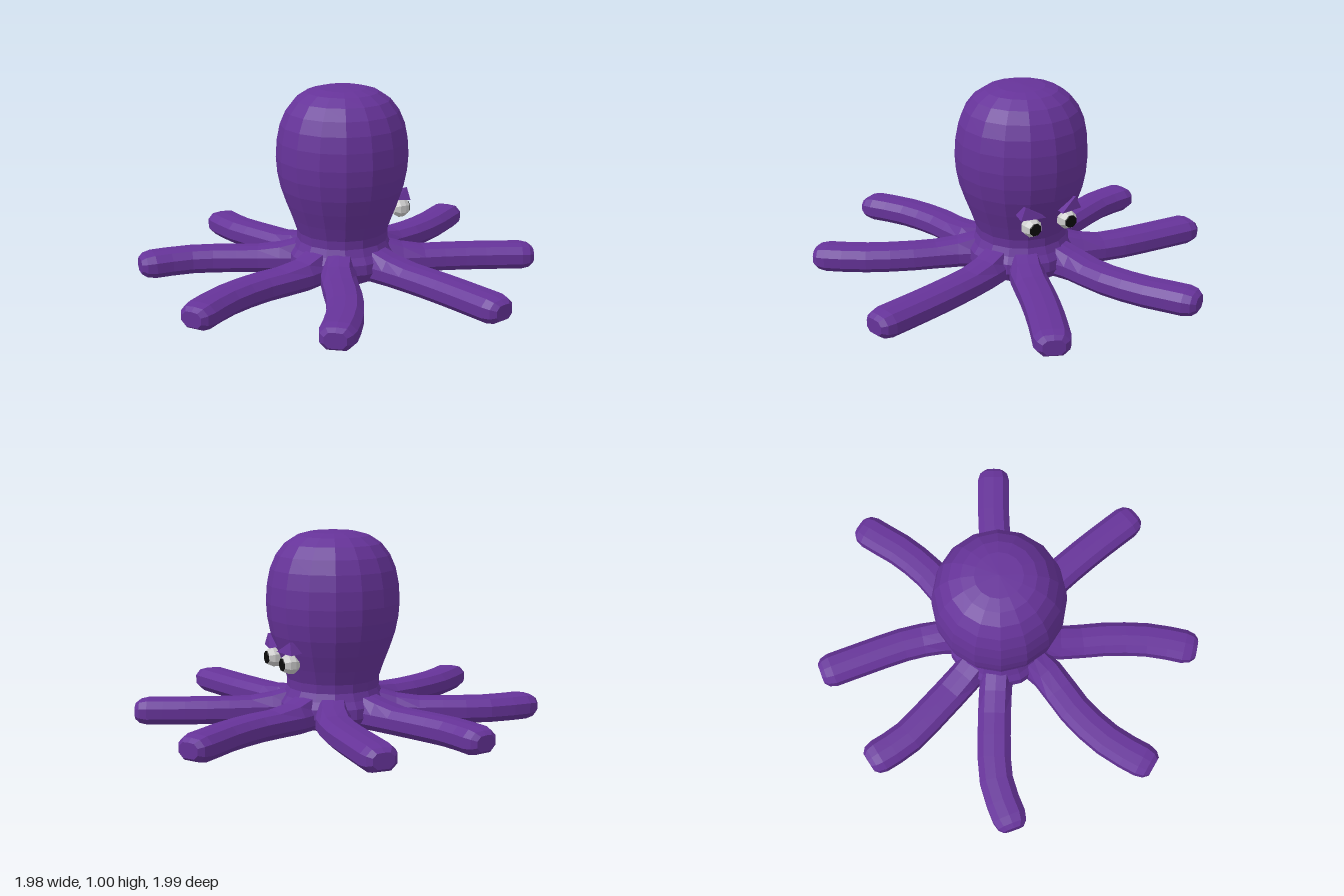
import * as THREE from 'three';
import { ConvexGeometry } from 'three/addons/geometries/ConvexGeometry.js';

const mat = (color) => new THREE.MeshStandardMaterial({ color, flatShading: true });
const CX = 0.02, CZ = -0.015; // centre of the body

// Loft a flattened octagon along a curve lying on the ground, with a rounded tip
function armGeometry(points) {
  const [first] = points;
  const start = [CX + (first[0] - CX) * 0.3, CZ + (first[1] - CZ) * 0.3];
  const curve = new THREE.CatmullRomCurve3(
    [start, ...points].map(([x, z]) => new THREE.Vector3(x, 0.078, z)));
  const section = [[0.088, -0.027], [0.088, 0.027], [0.055, 0.06], [0, 0.064],
    [-0.055, 0.06], [-0.088, 0.027], [-0.088, -0.027], [-0.052, -0.062], [0.052, -0.062]];
  const n = section.length;
  const stations = [0, 0.12, 0.24, 0.36, 0.48, 0.6, 0.72, 0.84, 0.93, 0.975, 1];
  const scales = [1, 1, 1, 1, 1, 1, 1, 1, 1, 0.87, 0.6];
  const pos = [], index = [];
  stations.forEach((u, i) => {
    const p = curve.getPointAt(u), t = curve.getTangentAt(u);
    // the root rises slightly into the body
    const d = Math.hypot(p.x - CX, p.z - CZ);
    const lift = 0.05 * THREE.MathUtils.clamp((0.38 - d) / 0.18, 0, 1);
    for (const [w, h] of section) {
      const s = w * scales[i];
      pos.push(p.x + t.z * s, p.y + h * scales[i] + (h > 0.05 ? lift : 0), p.z - t.x * s);
    }
    if (i === 0) return;
    for (let j = 0; j < n; j++) {
      const a = (i - 1) * n + j, b = (i - 1) * n + (j + 1) % n;
      index.push(a, b, b + n, a, b + n, a + n);
    }
  });
  const tip = curve.getPointAt(1), last = (stations.length - 1) * n;
  pos.push(tip.x, tip.y, tip.z);
  for (let j = 0; j < n; j++) index.push(last + j, last + (j + 1) % n, last + n);
  const geo = new THREE.BufferGeometry();
  geo.setAttribute('position', new THREE.Float32BufferAttribute(pos, 3));
  geo.setIndex(index);
  geo.computeVertexNormals();
  return geo;
}

export function createModel() {
  const group = new THREE.Group();
  const purple = mat(0x663399), white = mat(0xcccccc), black = mat(0x0a0a0a);
  const add = (name, geo, material, parent = group) => {
    const mesh = new THREE.Mesh(geo, material);
    mesh.name = name;
    parent.add(mesh);
    return mesh;
  };

  // Head and foot, turned as one profile
  const profile = [[0, 0], [0.2, 0.003], [0.255, 0.03], [0.285, 0.08], [0.28, 0.13], [0.255, 0.165],
    [0.237, 0.205], [0.238, 0.25], [0.262, 0.32], [0.293, 0.4], [0.32, 0.48], [0.336, 0.56],
    [0.342, 0.64], [0.336, 0.73], [0.32, 0.81], [0.29, 0.88], [0.245, 0.938], [0.185, 0.977],
    [0.12, 0.994], [0, 1]].map(([x, y]) => new THREE.Vector2(x, y));
  add('body', new THREE.LatheGeometry(profile, 16), purple).position.set(CX, 0, CZ);

  // Eight arms, each a centreline in x and z from body to tip
  const arms = [
    [[0.3, -0.16], [0.5, -0.21], [0.7, -0.3], [0.85, -0.4], [0.95, -0.465]],
    [[0.3, 0.11], [0.5, 0.175], [0.7, 0.25], [0.96, 0.365]],
    [[0.16, 0.28], [0.24, 0.5], [0.3, 0.7], [0.375, 0.985]],
    [[-0.14, 0.27], [-0.23, 0.52], [-0.33, 0.73], [-0.48, 0.94]],
    [[-0.26, 0.13], [-0.53, 0.19], [-0.75, 0.28], [-0.97, 0.435]],
    [[-0.25, -0.16], [-0.48, -0.27], [-0.7, -0.355], [-0.97, -0.375]],
    [[-0.12, -0.3], [-0.22, -0.52], [-0.295, -0.7], [-0.335, -0.93]],
    [[0.15, -0.3], [0.195, -0.5], [0.21, -0.7], [0.225, -0.985]],
  ];
  arms.forEach((points, i) => add(`arm${i + 1}`, armGeometry(points), purple));

  // Eyes and frowning brows on the +x side, mirrored about the body's centre
  for (const [name, s] of [['front', 1], ['back', -1]]) {
    const z = (d) => -0.01 + s * d;
    const eye = new THREE.Group();
    eye.name = `${name}Eye`;
    eye.position.set(0.3, 0.353, z(0.103));
    group.add(eye);
    // eyeball axis along x, with a flattened front carrying the pupil
    const ball = new THREE.LatheGeometry([[0, -0.045], [0.032, -0.04], [0.05, -0.015], [0.05, 0.015],
      [0.036, 0.042], [0, 0.044]].map(([x, y]) => new THREE.Vector2(x, y)), 8);
    ball.rotateY(Math.PI / 8).rotateZ(-Math.PI / 2);
    add('eyeball', ball, white, eye);
    const pupil = new THREE.CylinderGeometry(0.032, 0.036, 0.01, 8);
    pupil.rotateY(Math.PI / 8).rotateZ(-Math.PI / 2);
    add('pupil', pupil, black, eye).position.x = 0.042;

    const brow = [[0.35, 0.41, 0.048], [0.318, 0.472, 0.145], [0.325, 0.408, 0.175],
      [0.28, 0.415, 0.048], [0.275, 0.465, 0.14], [0.25, 0.415, 0.165]]
      .map(([x, y, d]) => new THREE.Vector3(x, y, z(d)));
    add(`${name}Brow`, new ConvexGeometry(brow), purple);
  }
  return group;
}
